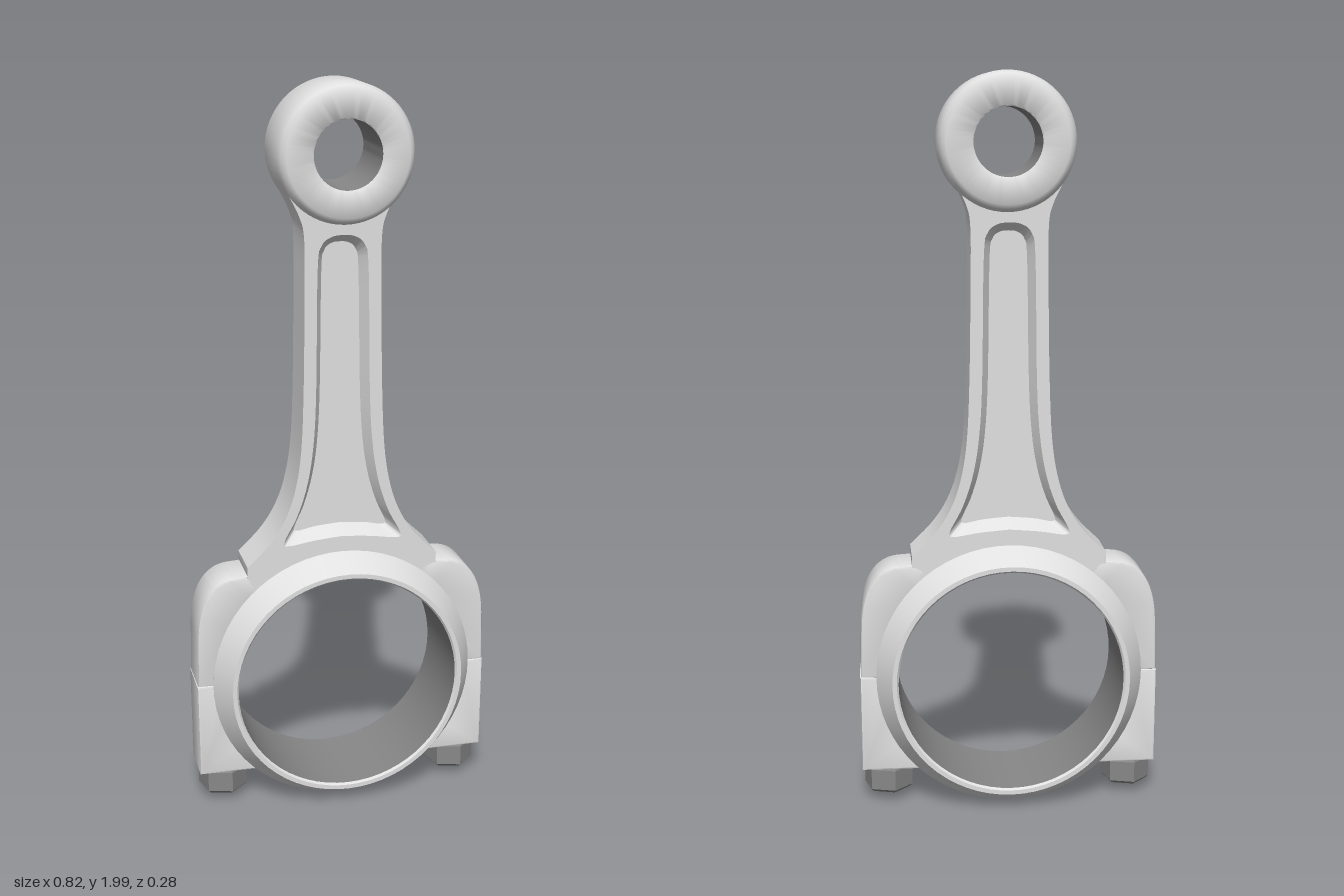
import * as THREE from 'three';
import { toCreasedNormals } from 'three/addons/utils/BufferGeometryUtils.js';

const V = (x, y) => new THREE.Vector2(x, y);
const pts = (list) => list.map(([x, y]) => V(x, y));
const BORE_Y = 0.375, HALF = 0.069;

// Closed counter-clockwise loop from its right half, listed bottom to top
function mirrored(half) {
  const left = half.filter((p) => p.x > 1e-4).reverse().map((p) => V(-p.x, p.y));
  return [...half, ...left];
}

// Wall joining two loops of equal length at two depths
function wall(a, za, b, zb) {
  const pos = [], n = a.length;
  for (let i = 0; i < n; i++) {
    const j = (i + 1) % n;
    const A = [a[i].x, a[i].y, za], B = [a[j].x, a[j].y, za];
    const C = [b[j].x, b[j].y, zb], D = [b[i].x, b[i].y, zb];
    pos.push(...A, ...B, ...C, ...A, ...C, ...D);
  }
  const g = new THREE.BufferGeometry();
  g.setAttribute('position', new THREE.Float32BufferAttribute(pos, 3));
  return toCreasedNormals(g, 0.6);
}

// Profile of (radius, depth) points turned about the z axis
const turned = (profile, crease) =>
  toCreasedNormals(new THREE.LatheGeometry(pts(profile), 64).rotateX(Math.PI / 2), crease);

export function createModel() {
  const steel = new THREE.MeshStandardMaterial({ color: 0xe0e0e0, side: THREE.DoubleSide });
  steel.name = 'light steel';
  const dark = new THREE.MeshStandardMaterial({ color: 0x888888 });
  dark.name = 'dark steel';

  const model = new THREE.Group();
  model.name = 'connectingRod';
  const add = (name, geo, mat = steel, parent = model) => {
    const m = new THREE.Mesh(geo, mat);
    m.name = name;
    parent.add(m);
    return m;
  };

  // Big end: chamfered ring with a darker machined bore
  add('bigEndRing', turned([[0.307, -0.134], [0.312, -0.14], [0.324, -0.14], [0.366, -0.07],
    [0.366, 0.07], [0.324, 0.14], [0.312, 0.14], [0.307, 0.134]], 0.4)).position.y = BORE_Y;
  add('bigEndBore', turned([[0.307, 0.134], [0.307, -0.134]], 0.4), dark).position.y = BORE_Y;

  // Bolt shoulders on both sides, meeting in a groove at the parting line
  const bossTop = new THREE.Shape();
  bossTop.moveTo(0.34, BORE_Y);
  bossTop.lineTo(0.408, BORE_Y);
  bossTop.lineTo(0.405, 0.52);
  bossTop.bezierCurveTo(0.402, 0.62, 0.365, 0.682, 0.3, 0.687);
  bossTop.lineTo(0.255, 0.69);
  bossTop.lineTo(0.2, 0.66);
  bossTop.lineTo(0.24, 0.615);
  bossTop.lineTo(0.3, 0.54);
  bossTop.lineTo(0.333, 0.46);
  const bossCap = new THREE.Shape(pts([[0.34, BORE_Y], [0.33, 0.29], [0.29, 0.19],
    [0.23, 0.107], [0.408, 0.107], [0.41, BORE_Y]]));
  const bevel = 0.006;
  const boss = (shape) => toCreasedNormals(new THREE.ExtrudeGeometry(shape, {
    depth: 2 * (HALF - bevel), bevelEnabled: true, bevelSize: bevel, bevelThickness: bevel,
    bevelOffset: -bevel, bevelSegments: 2, curveSegments: 16,
  }).translate(0, 0, bevel - HALF), 0.6);

  // Hexagonal bolt head with chamfered rims
  const boltProfile = pts([[0, 0.035], [0.06, 0.035], [0.068, 0.043], [0.068, 0.1], [0.062, 0.11], [0, 0.11]]);
  for (const [side, turn, s] of [['left', 0, 1], ['right', Math.PI, -1]]) {
    add(side + 'UpperShoulder', boss(bossTop)).rotation.y = turn;
    add(side + 'CapShoulder', boss(bossCap)).rotation.y = turn;
    const bolt = new THREE.LatheGeometry(boltProfile, 6).rotateY(Math.PI / 12);
    add(side + 'Bolt', toCreasedNormals(bolt, 0.3), dark).position.x = s * 0.335;
  }

  // Small end: chamfered eye with a darker bore
  const eye = [[0.09, -0.101], [0.094, -0.105], [0.161, -0.105], [0.173, -0.094], [0.181, -0.075],
    [0.181, 0.075], [0.173, 0.094], [0.161, 0.105], [0.094, 0.105], [0.09, 0.101]];
  add('smallEnd', turned(eye, 0.8)).position.set(0.006, 1.819, 0);
  add('smallEndBore', turned([[0.09, 0.101], [0.09, -0.101]], 0.8), dark).position.set(0.006, 1.819, 0);

  // Shank outline, flaring into both ends
  const flank = new THREE.SplineCurve(pts([[0.265, 0.715], [0.205, 0.775], [0.162, 0.84], [0.133, 0.92],
    [0.115, 1.03], [0.107, 1.2], [0.103, 1.45], [0.103, 1.6], [0.115, 1.66], [0.15, 1.73]])).getPoints(40);
  const outline = mirrored([V(0, 0.712), V(0.12, 0.695), V(0.235, 0.63), V(0.265, 0.685),
    ...flank, V(0.1, 1.745), V(0, 1.7)]);

  // Pocket rim and floor loops, on each face of the shank
  const loop = (list) => mirrored(new THREE.SplineCurve(pts(list)).getPoints(48));
  const rim = loop([[0, 0.785], [0.08, 0.778], [0.15, 0.768], [0.162, 0.782], [0.127, 0.85], [0.098, 0.94],
    [0.081, 1.05], [0.073, 1.2], [0.068, 1.52], [0.057, 1.585], [0.03, 1.607], [0, 1.611]]);
  const floor = loop([[0, 0.812], [0.07, 0.806], [0.118, 0.797], [0.127, 0.81], [0.101, 0.87], [0.078, 0.95],
    [0.063, 1.05], [0.055, 1.2], [0.05, 1.51], [0.042, 1.567], [0.022, 1.585], [0, 1.588]]);

  add('shankSides', wall(outline, -HALF, outline, HALF));
  const face = new THREE.Shape(outline);
  face.holes.push(new THREE.Path(rim));
  for (const [name, turn] of [['front', 0], ['back', Math.PI]]) {
    const g = new THREE.Group();
    g.name = name + 'Web';
    g.rotation.y = turn;
    model.add(g);
    add('shankFace', new THREE.ShapeGeometry(face), steel, g).position.z = HALF;
    add('pocketWall', wall(floor, 0.032, rim, HALF), steel, g);
    add('pocketFloor', new THREE.ShapeGeometry(new THREE.Shape(floor)), steel, g).position.z = 0.032;
  }

  return model;
}
